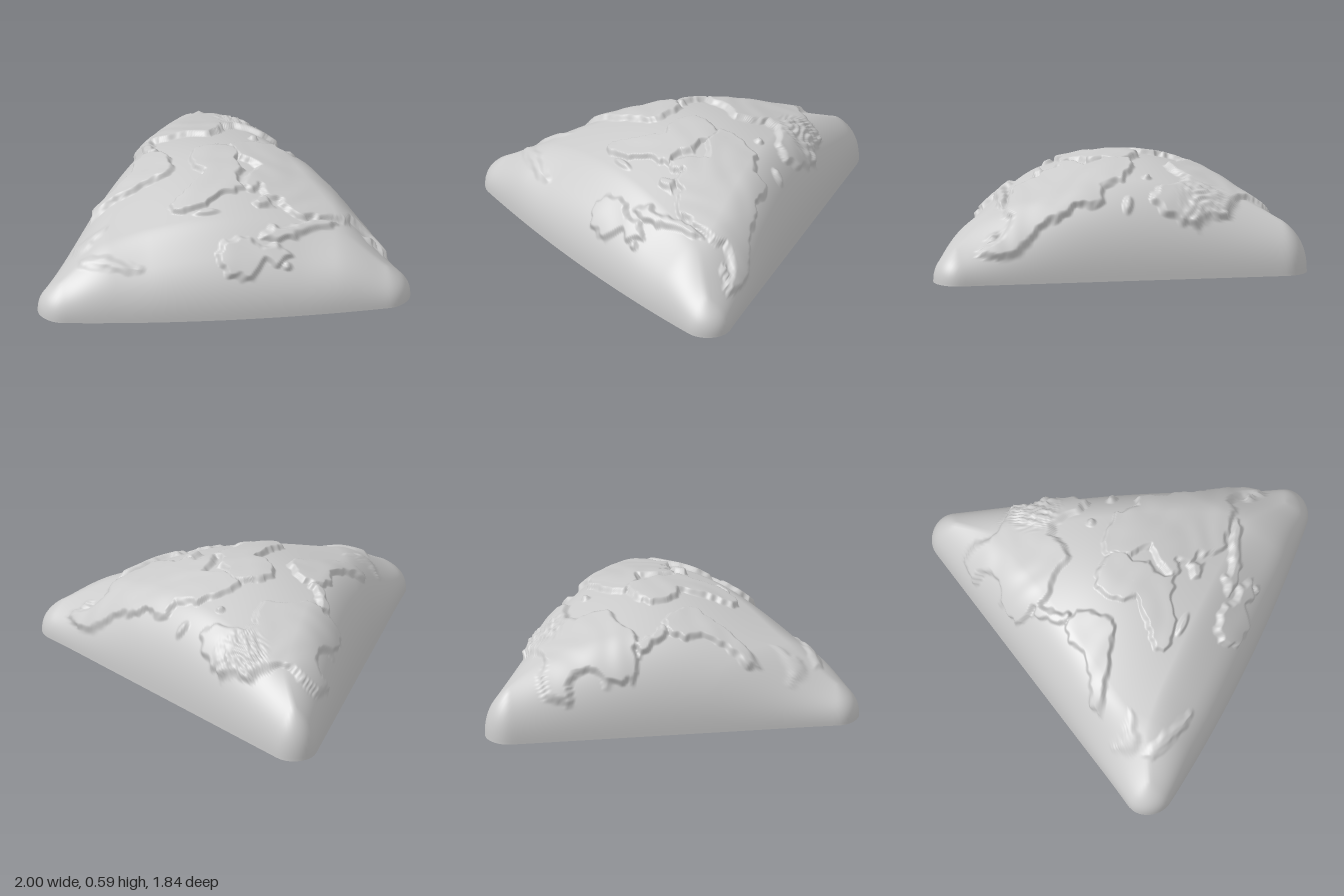
import * as THREE from 'three';

// Land outlines as x, z pairs in hundredths of a unit
const northAmerica = [-16,-66, -7,-64, -4,-56, 8,-54, 18,-54, 24,-46, 30,-42, 36,-26, 35,-18, 28,-18, 22,-24,
  14,-28, 8,-26, 6,-20, 0,-12, -12,-15, -20,-14, -27,-13, -31,-18, -38,-22, -38,-26, -31,-38, -24,-40, -19,-48, -20,-54, -24,-56];
const isthmus = [-35,-18, -30,-16, -31,-6, -29,2, -35,2, -35,-6];
const southAmerica = [-36,2, -26,4, -24,11, -23,24, -28,27, -34,28, -45,32, -63,36, -68,37, -65,31, -55,26, -44,17, -42,8];
const africa = [-11,9, -5,6, 6,6, 12,8, 13,16, 10,20, 14,28, 11,33, 10,39, 14,43, 8,45, 0,47, -8,54, -20,56,
  -26,55, -26,50, -18,42, -12,36, -6,30, -11,25, -13,17];
const eurasia = [8,6, 14,1, 25,0, 33,0, 37,4, 42,8, 48,5, 53,11, 55,18, 61,23, 68,32, 78,40, 84,48, 88,60, 85,61,
  80,53, 74,50, 69,50, 66,56, 60,54, 52,58, 49,56, 44,60, 36,56, 31,48, 24,47, 28,53, 20,55, 18,52, 24,46, 22,40,
  18,44, 12,42, 16,33, 20,28, 23,25, 18,20, 13,18];
const islandArc = [20,72, 27,66, 34,67, 45,62, 55,58, 62,58, 58,62, 48,65, 38,70, 28,72];
const australia = [-4,78, 1,73, 14,72, 20,76, 28,74, 35,78, 28,82, 22,80, 14,87, 0,85];
const polarNorth = [-79,50, -75,54, -62,53, -68,57, -72,62, -78,60];
const polarSouth = [-77,68, -64,72, -45,80, -52,80, -66,77, -77,72];

// Small islands: x, z, half length, half width
const islands = [[-0.08, 0.58, 0.06, 0.018], [0.23, -0.1, 0.022, 0.018], [0.43, -0.07, 0.03, 0.02],
  [0.33, 0.82, 0.02, 0.015], [0.8, 0.57, 0.03, 0.015]];

const makeLand = (flat, height, soft) => {
  const pts = [];
  for (let i = 0; i < flat.length; i += 2) pts.push([flat[i] / 100, flat[i + 1] / 100]);
  const box = new THREE.Box2().setFromPoints(pts.map(p => new THREE.Vector2(...p))).expandByScalar(0.05);
  return { pts, box, height, soft };
};
const lands = [
  ...[northAmerica, isthmus, southAmerica, africa, eurasia, islandArc, australia].map(f => makeLand(f, 0.03, 0.012)),
  ...[polarNorth, polarSouth].map(f => makeLand(f, 0.014, 0.02)),
];

// Signed distance to a polygon, positive inside
function inside(pts, x, z) {
  let best = Infinity, within = false;
  for (let i = 0, j = pts.length - 1; i < pts.length; j = i++) {
    const [ax, az] = pts[i], [bx, bz] = pts[j];
    const ex = bx - ax, ez = bz - az;
    const t = THREE.MathUtils.clamp(((x - ax) * ex + (z - az) * ez) / (ex * ex + ez * ez), 0, 1);
    best = Math.min(best, Math.hypot(x - ax - t * ex, z - az - t * ez));
    if ((az > z) !== (bz > z) && x < ax + (z - az) / ez * ex) within = !within;
  }
  return within ? best : -best;
}

const step = THREE.MathUtils.smoothstep;

// Distance in from the rim: a triangle with round corners and a bowed front
const core = [[0, -0.795], [0.875, 0.745], [-0.875, 0.745]];
function rimDistance(x, z) {
  const bow = 0.05 * (1 - (x / 0.9) ** 2) * step(z, 0.3, 0.9);
  return 0.125 + inside(core, x, z - bow);
}

// Smooth dome that drops steeply at the rim, gentler along the front
function domeHeight(x, z) {
  const ax = Math.abs(x);
  const depth = 0.24 + 0.12 * step(z, 0.5, 0.8) * (1 - step(ax, 0.4, 0.8));
  const t = THREE.MathUtils.clamp(rimDistance(x, z) / depth, 0, 1);
  const r2 = x * x + (z - 0.15) ** 2;
  const cap = 0.22 + 0.34 * Math.exp(-r2 / 0.64) - 0.08 * step(ax, 0.6, 0.95);
  return cap * Math.pow(1 - (1 - t) ** 2, 0.4);
}

// Raised land with wavering coasts and gentle hills
function relief(x, z) {
  const wobble = 0.004 * (Math.sin(61 * x + 3 * Math.sin(37 * z)) + Math.sin(73 * z + 2 * Math.sin(41 * x)));
  let h = 0;
  const point = new THREE.Vector2(x, z);
  for (const land of lands) {
    if (!land.box.containsPoint(point)) continue;
    h = Math.max(h, land.height * step(inside(land.pts, x, z) + wobble, -land.soft, land.soft));
  }
  for (const [cx, cz, a, b] of islands) {
    const r = Math.hypot((x - cx) / a, (z - cz) / b);
    h = Math.max(h, 0.022 * (1 - step(r, 0.5, 1.4)));
  }
  const hills = Math.sin(19 * x + 2 * Math.sin(13 * z)) * Math.sin(21 * z + Math.sin(15 * x));
  // Broken archipelago in the far north
  const rough = 1 - step(Math.hypot(x - 0.2, z + 0.42), 0.08, 0.17);
  const broken = Math.sin(90 * x + 3 * Math.sin(40 * z)) * Math.sin(80 * z + 2 * Math.sin(50 * x));
  return h * (1 + 0.08 * hills + 0.4 * rough * broken);
}

export function createModel() {
  const group = new THREE.Group();
  const material = new THREE.MeshStandardMaterial({ color: 0xcccccc });
  const rings = 185, spokes = 380, cz = 0.25;
  const positions = [], index = [], rim = [];

  // Rim radius along each spoke, found by bisection
  for (let j = 0; j < spokes; j++) {
    const a = j / spokes * Math.PI * 2;
    let lo = 0, hi = 1.6;
    for (let n = 0; n < 40; n++) {
      const mid = (lo + hi) / 2;
      if (rimDistance(Math.sin(a) * mid, cz + Math.cos(a) * mid) > 0) lo = mid; else hi = mid;
    }
    rim.push([Math.sin(a) * lo, Math.cos(a) * lo]);
  }

  // Domed top in rings that crowd toward the rim
  const e = 0.004;
  for (let i = 0; i <= rings; i++) {
    const s = 1 - (1 - i / rings) ** 1.7;
    for (let j = 0; j < spokes; j++) {
      const x = rim[j][0] * s, z = cz + rim[j][1] * s;
      const y = i === rings ? 0 : domeHeight(x, z);
      const r = i === rings ? 0 : relief(x, z) * step(rimDistance(x, z), 0, 0.03);
      const n = new THREE.Vector3(domeHeight(x - e, z) - domeHeight(x + e, z), 2 * e,
        domeHeight(x, z - e) - domeHeight(x, z + e)).normalize();
      positions.push(x + n.x * r, y + n.y * r, z + n.z * r);
      if (i === rings) continue;
      const k = (j + 1) % spokes, a = i * spokes + j, d = i * spokes + k;
      if (i > 0) index.push(a, a + spokes, d + spokes, a, d + spokes, d);
      else index.push(a, a + spokes, d + spokes);
    }
  }
  const domeGeometry = new THREE.BufferGeometry();
  domeGeometry.setAttribute('position', new THREE.Float32BufferAttribute(positions, 3));
  domeGeometry.setIndex(index);
  domeGeometry.computeVertexNormals();
  // The rings collapse to one point at the middle, so its normal is set upright
  for (let j = 0; j < spokes; j++) domeGeometry.attributes.normal.setXYZ(j, 0, 1, 0);
  const dome = new THREE.Mesh(domeGeometry, material);
  dome.name = 'reliefMapDome';
  group.add(dome);

  // Flat underside
  const outline = new THREE.Shape(rim.map(([x, z]) => new THREE.Vector2(x, z + cz)));
  const base = new THREE.Mesh(new THREE.ShapeGeometry(outline).rotateX(Math.PI / 2), material);
  base.name = 'flatBase';
  group.add(base);
  return group;
}
